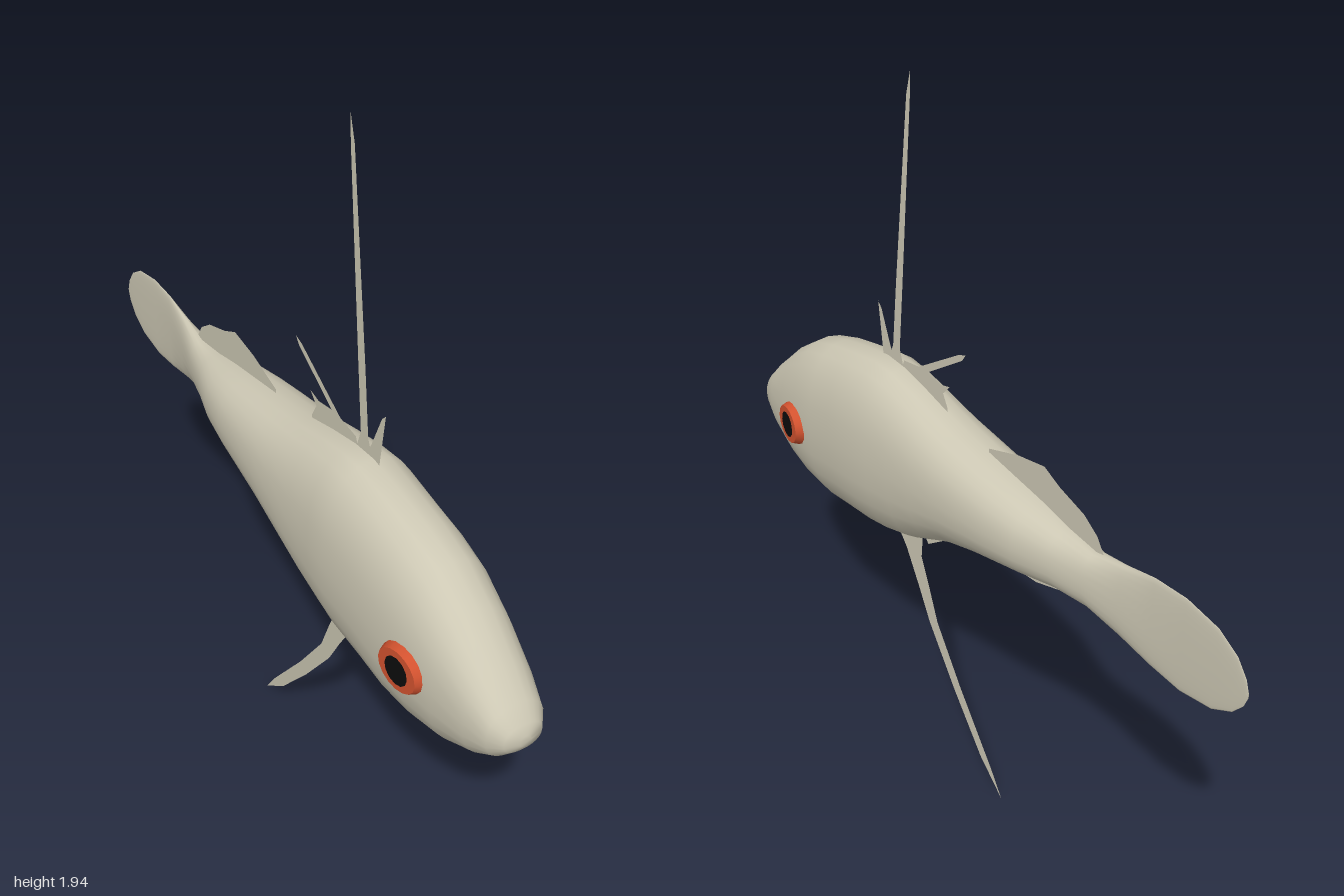
import * as THREE from 'three';

const skin = new THREE.MeshStandardMaterial({ color: 0xcdc8b4, side: THREE.DoubleSide });
skin.name = 'pale skin';
const red = new THREE.MeshStandardMaterial({ color: 0xd2522f });
red.name = 'iris red';
const black = new THREE.MeshStandardMaterial({ color: 0x0c0c0c });
black.name = 'pupil black';

// Body and tail sections, nose to tail: z, top y, bottom y, half width
const sections = [
  [1, 0.835, 0.805, 0.015], [0.99, 0.86, 0.785, 0.05], [0.96, 0.895, 0.75, 0.075],
  [0.9, 0.95, 0.705, 0.093], [0.8, 1.03, 0.655, 0.112], [0.7, 1.09, 0.63, 0.125],
  [0.6, 1.12, 0.623, 0.132], [0.5, 1.14, 0.633, 0.132], [0.38, 1.16, 0.647, 0.137],
  [0.3, 1.155, 0.66, 0.131], [0.2, 1.135, 0.69, 0.128], [0.1, 1.11, 0.735, 0.125],
  [0, 1.09, 0.78, 0.122], [-0.1, 1.075, 0.808, 0.116], [-0.2, 1.06, 0.83, 0.108],
  [-0.3, 1.045, 0.848, 0.094], [-0.4, 1.025, 0.863, 0.066], [-0.5, 1.013, 0.863, 0.041],
  [-0.6, 1.033, 0.84, 0.02], [-0.7, 1.054, 0.82, 0.007], [-0.8, 1.058, 0.812, 0.005],
  [-0.9, 1.04, 0.828, 0.004], [-0.96, 1.005, 0.86, 0.003], [-0.99, 0.965, 0.895, 0.002],
  [-1, 0.935, 0.922, 0.001],
];

function loft(rows, sides) {
  const pos = [], index = [];
  const power = (v) => Math.sign(v) * Math.pow(Math.abs(v), 2 / 2.3);
  for (const [z, top, bottom, w] of rows) {
    for (let j = 0; j < sides; j++) {
      const a = (j / sides) * Math.PI * 2;
      pos.push(w * power(Math.cos(a)), (top + bottom) / 2 + ((top - bottom) / 2) * power(Math.sin(a)), z);
    }
  }
  for (let i = 0; i < rows.length - 1; i++) {
    for (let j = 0; j < sides; j++) {
      const k = (j + 1) % sides;
      const a = i * sides + j, b = i * sides + k, c = a + sides, d = b + sides;
      index.push(a, c, b, b, c, d);
    }
  }
  // Close the nose and the tail
  const last = (rows.length - 1) * sides;
  for (let j = 1; j < sides - 1; j++) {
    index.push(0, j, j + 1, last, last + j + 1, last + j);
  }
  const geo = new THREE.BufferGeometry();
  geo.setAttribute('position', new THREE.Float32BufferAttribute(pos, 3));
  geo.setIndex(index);
  geo.computeVertexNormals();
  return geo;
}

// Flat fin outlines on the centre plane, as [z, y]
const fins = {
  frontSpine: [[0.4, 1.14], [0.42, 1.3], [0.405, 1.285], [0.365, 1.19], [0.33, 1.14]],
  tallSpine: [[0.38, 1.14], [0.352, 1.2], [0.33, 1.38], [0.262, 1.88], [0.243, 1.942],
    [0.246, 1.88], [0.3, 1.38], [0.32, 1.2], [0.3, 1.14]],
  rearSpine: [[0.32, 1.13], [0.3, 1.175], [0.23, 1.185], [0.05, 1.29], [0.02, 1.3], [0.035, 1.28],
    [0.19, 1.185], [0.13, 1.175], [0.09, 1.185], [0.12, 1.155], [0.1, 1.12], [0.1, 1.09]],
  secondDorsalFin: [[-0.08, 1.06], [-0.08, 1.088], [-0.2, 1.125], [-0.3, 1.142], [-0.36, 1.115],
    [-0.45, 1.088], [-0.5, 1.055], [-0.53, 1.01], [-0.4, 1.0]],
  analFin: [[0.02, 0.8], [0, 0.785], [-0.1, 0.787], [-0.2, 0.8], [-0.28, 0.806], [-0.4, 0.843],
    [-0.46, 0.87], [-0.2, 0.87]],
  pelvicFin: [[0.38, 0.67], [0.31, 0.59], [0.25, 0.49], [0.2, 0.4], [0.08, 0.24], [-0.05, 0.085],
    [-0.15, 0.002], [-0.1, 0.075], [0.05, 0.265], [0.16, 0.42], [0.2, 0.52], [0.235, 0.6],
    [0.225, 0.69], [0.2, 0.66], [0.14, 0.7], [0.05, 0.76], [0.2, 0.75]],
};

function createEye(side) {
  const eye = new THREE.Group();
  eye.name = side > 0 ? 'leftEye' : 'rightEye';
  const irisGeo = new THREE.CylinderGeometry(0.062, 0.075, 0.03, 16);
  irisGeo.rotateX(Math.PI / 2);
  const iris = new THREE.Mesh(irisGeo, red);
  iris.name = 'iris';
  iris.scale.y = 0.87;
  const pupil = new THREE.Mesh(new THREE.CircleGeometry(0.038, 12), black);
  pupil.name = 'pupil';
  pupil.position.z = 0.0165;
  eye.add(iris, pupil);
  // Follow the taper of the head
  eye.position.set(side * 0.125, 0.847, 0.71);
  eye.rotation.y = side * (Math.PI / 2 - 0.13);
  return eye;
}

export function createModel() {
  const fish = new THREE.Group();
  fish.name = 'fish';
  const body = new THREE.Mesh(loft(sections, 24), skin);
  body.name = 'bodyAndTail';
  fish.add(body);
  for (const [name, outline] of Object.entries(fins)) {
    const shape = new THREE.Shape(outline.map(([z, y]) => new THREE.Vector2(z, y)));
    const geo = new THREE.ShapeGeometry(shape);
    geo.rotateY(-Math.PI / 2);
    const fin = new THREE.Mesh(geo, skin);
    fin.name = name;
    fish.add(fin);
  }
  fish.add(createEye(1), createEye(-1));
  return fish;
}
